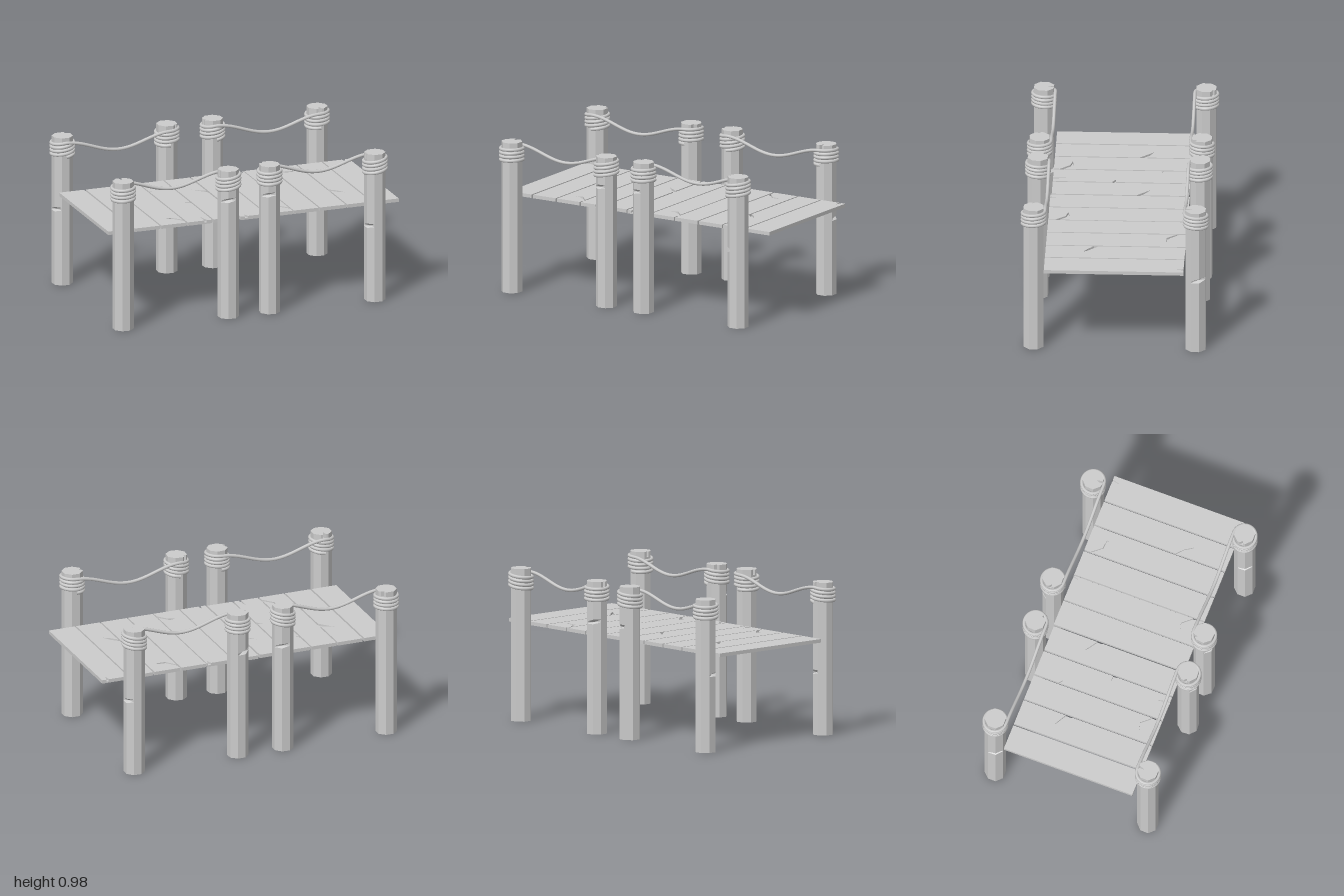
import * as THREE from 'three';

const flat = new THREE.MeshStandardMaterial({ color: 0xcccccc, flatShading: true });
const smooth = new THREE.MeshStandardMaterial({ color: 0xcccccc });

const SIDES = 8, POST_R = 0.068, POST_H = 0.98, CAP_H = 0.035;
const DECK_Y = 0.604, BASE_T = 0.01, DECK_T = 0.023;

function addMesh(parent, name, geometry, material) {
  const mesh = new THREE.Mesh(geometry, material);
  mesh.name = name;
  parent.add(mesh);
  return mesh;
}

// Extrudes an outline of [x, z] points upward from y0 to y1
function slab(points, y0, y1) {
  const shape = new THREE.Shape(points.map(([x, z]) => new THREE.Vector2(x, -z)));
  const geo = new THREE.ExtrudeGeometry(shape, { depth: y1 - y0, bevelEnabled: false });
  return geo.rotateX(-Math.PI / 2).translate(0, y0, 0);
}

// Octagonal post: a shaft with a chipped corner, and a top slice with a split
function makePost({ x, z, rot, nickY, nickCorner, split, depth }) {
  const post = new THREE.Group();
  post.name = 'post';
  post.position.set(x, 0, z);

  const top = POST_H - CAP_H;
  const shaft = new THREE.CylinderGeometry(POST_R, POST_R, top, SIDES, 4, false, rot);
  const pos = shaft.attributes.position;
  const rows = [top, nickY + 0.018, nickY, nickY - 0.012, 0];
  shaft.translate(0, top / 2, 0);
  rows.forEach((y, row) => {
    for (let c = 0; c <= SIDES; c++) {
      const i = row * (SIDES + 1) + c;
      const k = row === 2 && c % SIDES === nickCorner ? 0.62 : 1;
      pos.setXYZ(i, pos.getX(i) * k, y, pos.getZ(i) * k);
    }
  });
  addMesh(post, 'postShaft', shaft, flat);

  const corner = (i, r = POST_R) => {
    const a = rot + (i * Math.PI * 2) / SIDES;
    return [r * Math.sin(a), r * Math.cos(a)];
  };
  const outline = [];
  for (let i = 0; i < SIDES; i++) {
    outline.push(corner(i));
    if (i === split) {
      const [a, b] = [corner(i), corner(i + 1)];
      const mix = (t) => [a[0] + (b[0] - a[0]) * t, a[1] + (b[1] - a[1]) * t];
      outline.push(mix(0.3), corner(i + 0.7, POST_R - depth), mix(0.72));
    }
  }
  addMesh(post, 'postTop', slab(outline, top, POST_H), flat);
  return post;
}

// Plank: a whole lower layer under an upper layer with cracks cut into its edges
function makePlank(x0, x1, z0, z1, cracks = {}) {
  const plank = new THREE.Group();
  plank.name = 'plank';
  const { l = [], f = [], r = [], b = [] } = cracks;
  const cut = [[x0, z0], ...l, [x0, z1], ...f, [x1, z1], ...r, [x1, z0], ...b];
  const whole = [[x0, z0], [x0, z1], [x1, z1], [x1, z0]];
  addMesh(plank, 'plankBase', slab(whole, DECK_Y, DECK_Y + BASE_T), flat);
  addMesh(plank, 'plankTop', slab(cut, DECK_Y + BASE_T, DECK_Y + DECK_T), flat);
  return plank;
}

// One rope: coiled up the left post, sagging across, coiled down the right post
function makeRope(xl, xr, z) {
  const s = Math.sign(z), r = 0.072, turns = 4, steps = 16, pts = [];
  const coil = (xc, a) => new THREE.Vector3(
    xc + r * Math.sin(a),
    0.948 - (0.095 * Math.abs(a)) / (turns * Math.PI * 2) + 0.007 * Math.sin(a),
    z - s * r * Math.cos(a));
  const n = turns * steps;
  for (let i = -n; i <= 0; i++) pts.push(coil(xl, (i / steps) * Math.PI * 2));
  for (let i = 1; i < 14; i++) {
    const t = i / 14;
    pts.push(new THREE.Vector3(xl + (xr - xl) * t,
      0.909 + 0.039 * Math.cos(t * Math.PI * 2), z - s * r));
  }
  for (let i = 0; i <= n; i++) pts.push(coil(xr, (i / steps) * Math.PI * 2));
  const curve = new THREE.CatmullRomCurve3(pts);
  return new THREE.TubeGeometry(curve, 320, 0.011, 7, false);
}

export function createModel() {
  const model = new THREE.Group();
  model.name = 'dock';

  // Posts
  const zf = 0.511, zb = -0.519;
  const posts = [
    { x: -0.9, z: zf, rot: 0.36, nickY: 0.4, nickCorner: 3, split: 3, depth: 0.045 },
    { x: -0.185, z: zf, rot: 0.45, nickY: 0.785, nickCorner: 7, split: 5, depth: 0.02 },
    { x: 0.095, z: zf, rot: 0.3, nickY: 0.79, nickCorner: 7, split: 4, depth: 0.02 },
    { x: 0.81, z: zf, rot: 0.4, nickY: 0.5, nickCorner: 6, split: 5, depth: 0.02 },
    { x: -0.92, z: zb, rot: 0.4, nickY: 0.5, nickCorner: 6, split: 2, depth: 0.02 },
    { x: -0.21, z: zb, rot: 0.33, nickY: 0.72, nickCorner: 3, split: 0, depth: 0.02 },
    { x: 0.1, z: zb, rot: 0.45, nickY: 0.72, nickCorner: 4, split: 5, depth: 0.02 },
    { x: 0.81, z: zb, rot: 0.36, nickY: 0.5, nickCorner: 2, split: 7, depth: 0.045 },
  ];
  posts.forEach((p) => model.add(makePost(p)));

  // Deck planks: left edge, right edge, cracks on left/front/right/back edges
  const bent = (x) => [[x, 0.392], [x - 0.055, 0.328], [x - 0.105, 0.315], [x - 0.055, 0.303], [x, 0.365]];
  const planks = [
    [-0.97, -0.802],
    [-0.79, -0.62, { r: [[-0.62, -0.11], [-0.7, -0.2], [-0.62, -0.155]] }],
    [-0.61, -0.44, { r: bent(-0.44) }],
    [-0.43, -0.265, {
      l: [[-0.43, -0.275], [-0.405, -0.255], [-0.43, -0.26]],
      f: [[-0.318, 0.431], [-0.315, 0.345], [-0.298, 0.431]],
      r: [[-0.265, 0.055], [-0.3, 0.03], [-0.265, 0.03]],
    }],
    [-0.255, -0.085, { r: [[-0.085, -0.11], [-0.165, -0.2], [-0.085, -0.145]] }],
    [-0.073, 0.098, { f: [[-0.045, 0.439], [-0.035, 0.4], [-0.025, 0.439]] }],
    [0.107, 0.28, { r: bent(0.28), b: [[0.275, -0.447], [0.265, -0.41], [0.252, -0.447]] }],
    [0.288, 0.456],
    [0.466, 0.64, {
      l: [[0.466, -0.405], [0.52, -0.34], [0.575, -0.335], [0.575, -0.32], [0.515, -0.322], [0.466, -0.385]],
    }],
    [0.65, 0.813, { l: [[0.65, 0.105], [0.695, 0.145], [0.73, 0.2], [0.685, 0.17], [0.65, 0.135]] }],
    [0.823, 1.0, { b: [[0.972, -0.447], [0.96, -0.4], [0.952, -0.447]] }],
  ];
  planks.forEach(([x0, x1, cracks], i) => {
    const [z0, z1] = i < 5 ? [-0.442, 0.431] : [-0.447, 0.439];
    model.add(makePlank(x0, x1, z0, z1, cracks));
  });

  // Ropes between each pair of posts
  [0, 2, 4, 6].forEach((i) =>
    addMesh(model, 'rope', makeRope(posts[i].x, posts[i + 1].x, posts[i].z), smooth));

  return model;
}
